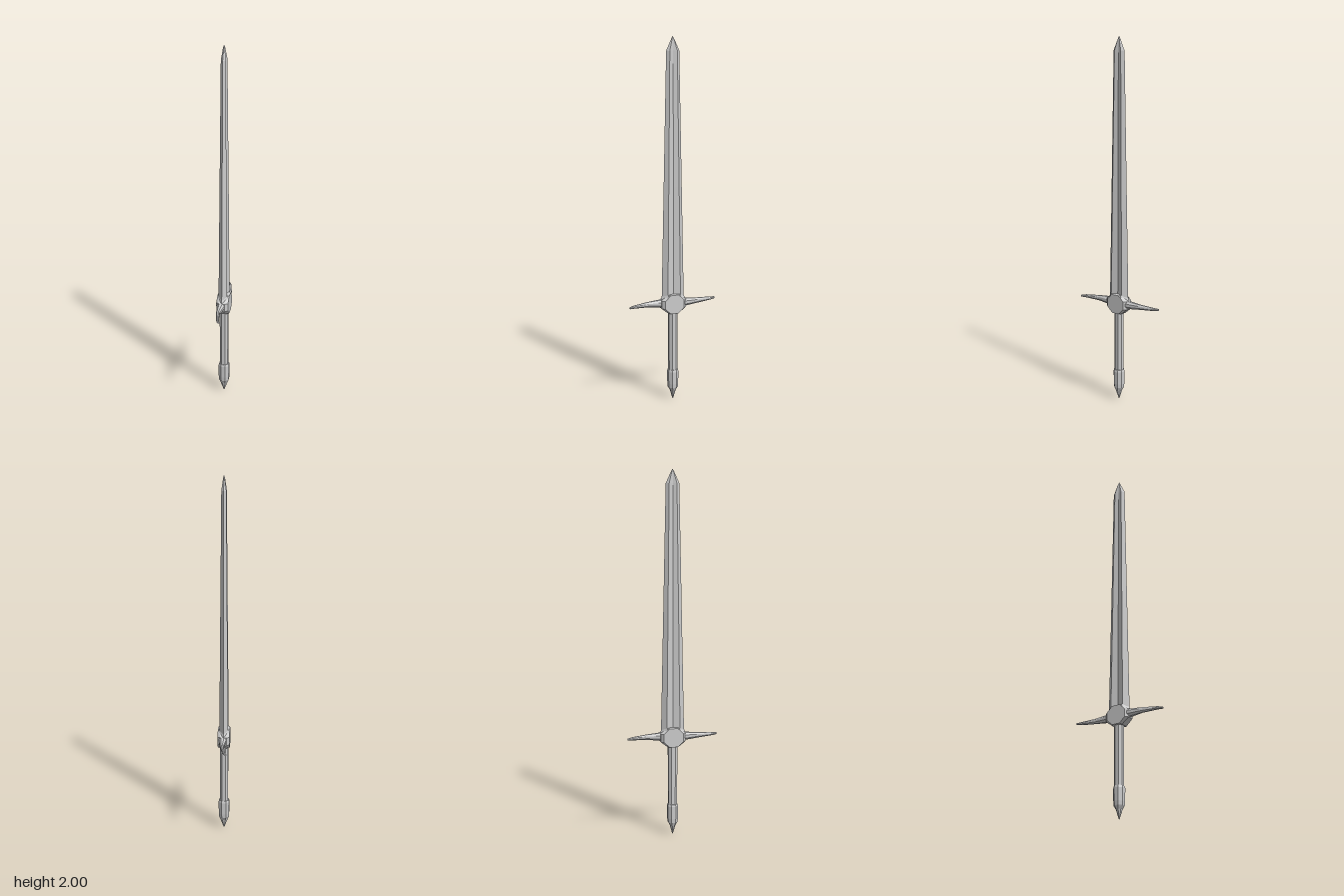
import * as THREE from 'three';

const material = new THREE.MeshStandardMaterial({ color: 0xcccccc, flatShading: true });

// Skin a list of equal-length rings; each ring runs counter-clockwise seen from the far end
function loft(name, rings) {
  const n = rings[0].length, pos = rings.flat(2), index = [];
  for (let r = 0; r < rings.length - 1; r++) {
    for (let i = 0; i < n; i++) {
      const j = (i + 1) % n, a = r * n + i, b = r * n + j;
      index.push(a, b, b + n, a, b + n, a + n);
    }
  }
  // end caps fan out from each ring's centre
  [0, rings.length - 1].forEach((r, end) => {
    const c = pos.length / 3;
    for (let k = 0; k < 3; k++) pos.push(rings[r].reduce((s, p) => s + p[k], 0) / n);
    for (let i = 0; i < n; i++) {
      const a = r * n + i, b = r * n + (i + 1) % n;
      if (end) index.push(c, a, b); else index.push(c, b, a);
    }
  });
  const indexed = new THREE.BufferGeometry();
  indexed.setAttribute('position', new THREE.Float32BufferAttribute(pos, 3));
  indexed.setIndex(index);
  const geometry = indexed.toNonIndexed();
  geometry.computeVertexNormals();
  const mesh = new THREE.Mesh(geometry, material);
  mesh.name = name;
  return mesh;
}

// Octagon with flat sides, given half-sizes across the flats
function octagon(a, b) {
  return Array.from({ length: 8 }, (_, i) => {
    const t = (i + 0.5) * Math.PI / 4, k = 1 / Math.cos(Math.PI / 8);
    return [Math.cos(t) * a * k, Math.sin(t) * b * k];
  });
}
const upright = (y, a, b) => octagon(a, b).map(([u, v]) => [u, y, -v]);

// Hollowed blade section: sharp edges, two ridges and a central groove on each face
function bladeRing(y, width, thick, groove = 0.5) {
  const ridge = width * 0.57;
  return [
    [thick * groove, y, 0], [thick, y, -ridge], [0, y, -width], [-thick, y, -ridge],
    [-thick * groove, y, 0], [-thick, y, ridge], [0, y, width], [thick, y, ridge],
  ];
}

export function createModel() {
  const sword = new THREE.Group();
  sword.name = 'sword';

  // Blade with a short pointed tip
  sword.add(loft('blade', [
    bladeRing(0.56, 0.065, 0.024),
    bladeRing(1.2, 0.052, 0.019),
    bladeRing(1.925, 0.037, 0.013),
    bladeRing(1.985, 0.009, 0.005, 0.8),
    bladeRing(2.0, 0.001, 0.001, 1),
  ]));

  // Collar gripping the foot of the blade
  sword.add(loft('bladeCollar', [
    bladeRing(0.54, 0.07, 0.032, 0.7),
    bladeRing(0.58, 0.07, 0.031, 0.7),
    bladeRing(0.605, 0.058, 0.028, 0.7),
  ]));

  // Guard block: an octagonal drum lying across the blade, bevelled to both faces
  const drum = [[-0.033, 0.055, 0.052], [-0.018, 0.07, 0.055], [0.018, 0.07, 0.055], [0.033, 0.055, 0.052]];
  sword.add(loft('guardBlock', drum.map(([x, a, b]) =>
    octagon(a, b).map(([u, v]) => [x, 0.552 + v, -u]))));

  // Crossguard arms, curving to opposite sides: z, centre x, half width, centre y, half height
  const arm = [
    [0.05, -0.004, 0.022, 0.555, 0.024],
    [0.08, -0.005, 0.019, 0.555, 0.02],
    [0.145, -0.004, 0.010, 0.556, 0.014],
    [0.23, 0.011, 0.007, 0.555, 0.008],
    [0.255, 0.021, 0.006, 0.554, 0.005],
  ];
  for (const [name, turn] of [['frontGuardArm', 0], ['backGuardArm', Math.PI]]) {
    const mesh = loft(name, arm.map(([z, cx, w, cy, h]) =>
      octagon(w, h).map(([u, v]) => [cx + u, cy + v, z])));
    mesh.rotation.y = turn;
    sword.add(mesh);
  }

  // Grip
  sword.add(loft('grip', [upright(0.15, 0.023, 0.024), upright(0.52, 0.023, 0.025)]));

  // Pommel ending in a wedge-like point
  sword.add(loft('pommel', [
    upright(0, 0.002, 0.002),
    upright(0.05, 0.02, 0.015),
    upright(0.068, 0.027, 0.026),
    upright(0.09, 0.029, 0.028),
    upright(0.16, 0.03, 0.029),
    upright(0.172, 0.027, 0.026),
  ]));

  return sword;
}
